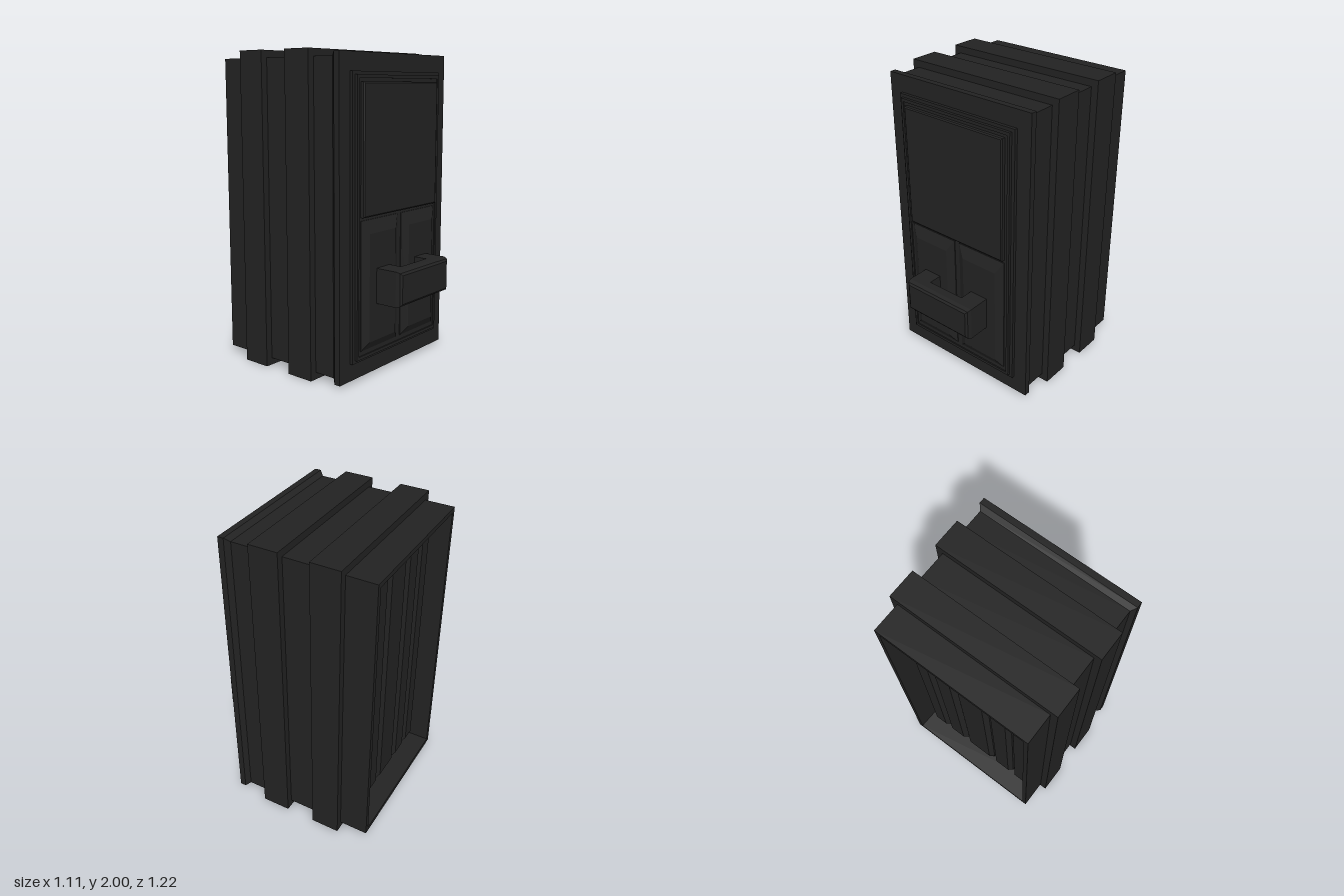
import * as THREE from 'three';

const material = new THREE.MeshStandardMaterial({ color: 0x222222 });

// Flat-shaded solid through rectangular sections [x0, x1, y0, y1, z], capped at both ends
function loft(name, sections) {
  const pos = [];
  const rings = sections.map(([x0, x1, y0, y1, z]) =>
    [[x0, y0, z], [x1, y0, z], [x1, y1, z], [x0, y1, z]]);
  const quad = (a, b, c, d) => pos.push(...a, ...b, ...c, ...a, ...c, ...d);
  for (let s = 0; s < rings.length - 1; s++) {
    const a = rings[s], b = rings[s + 1];
    for (let i = 0; i < 4; i++) {
      const j = (i + 1) % 4;
      quad(a[i], a[j], b[j], b[i]);
    }
  }
  const first = rings[0], last = rings[rings.length - 1];
  quad(first[3], first[2], first[1], first[0]);
  quad(...last);
  const geometry = new THREE.BufferGeometry();
  geometry.setAttribute('position', new THREE.Float32BufferAttribute(pos, 3));
  geometry.computeVertexNormals();
  const mesh = new THREE.Mesh(geometry, material);
  mesh.name = name;
  return mesh;
}

// Section centred on (cx, cy)
const rect = (hw, hh, z, cx = 0, cy = 1) => [cx - hw, cx + hw, cy - hh, cy + hh, z];

export function createModel() {
  const model = new THREE.Group();
  model.name = 'ribbedCase';

  // Casing: rear recess, two raised bands, flared front rim and stepped front
  model.add(loft('casing', [
    rect(0.47, 0.915, -0.43), rect(0.48, 0.925, -0.61),
    rect(0.51, 0.955, -0.61), rect(0.51, 0.955, -0.42),
    rect(0.555, 1, -0.42), rect(0.555, 1, -0.23),
    rect(0.51, 0.955, -0.23), rect(0.51, 0.955, -0.035),
    rect(0.555, 1, -0.035), rect(0.555, 1, 0.155),
    rect(0.51, 0.955, 0.155), rect(0.51, 0.955, 0.3),
    rect(0.535, 0.98, 0.33), rect(0.535, 0.98, 0.37),
    rect(0.44, 0.87, 0.37), rect(0.44, 0.87, 0.39),
    rect(0.418, 0.85, 0.39), rect(0.418, 0.85, 0.408),
    rect(0.4, 0.83, 0.408), rect(0.4, 0.83, 0.4),
  ]));

  // Upper front plate
  model.add(loft('upperPlate', [
    rect(0.378, 0.395, 0.39, 0, 1.415), rect(0.378, 0.395, 0.42, 0, 1.415),
    rect(0.37, 0.387, 0.426, 0, 1.415),
  ]));

  // Lower front pads, with a groove between them
  for (const side of [-1, 1]) {
    model.add(loft('lowerPad', [
      rect(0.18, 0.4, 0.39, side * 0.2, 0.6), rect(0.18, 0.4, 0.405, side * 0.2, 0.6),
      rect(0.13, 0.335, 0.432, side * 0.2, 0.585),
    ]));
  }

  // Handle: two legs and a chamfered bar
  const handle = new THREE.Group();
  handle.name = 'handle';
  for (const side of [-1, 1]) {
    handle.add(loft('handleLeg', [
      rect(0.064, 0.11, 0.4, side * 0.198, 0.59), rect(0.064, 0.11, 0.52, side * 0.198, 0.59),
    ]));
  }
  handle.add(loft('handleBar', [
    rect(0.262, 0.11, 0.52, 0, 0.59), rect(0.262, 0.11, 0.575, 0, 0.59),
    rect(0.254, 0.102, 0.6, 0, 0.59), rect(0.24, 0.088, 0.61, 0, 0.59),
  ]));
  model.add(handle);

  // Vertical ridges inside the rear recess
  for (const [cx, hw] of [[-0.37, 0.07], [-0.21, 0.08], [0, 0.115], [0.21, 0.08], [0.37, 0.07]]) {
    model.add(loft('rearRidge', [
      rect(hw - 0.025, 0.84, -0.5, cx), rect(hw, 0.88, -0.47, cx), rect(hw, 0.88, -0.42, cx),
    ]));
  }
  return model;
}
